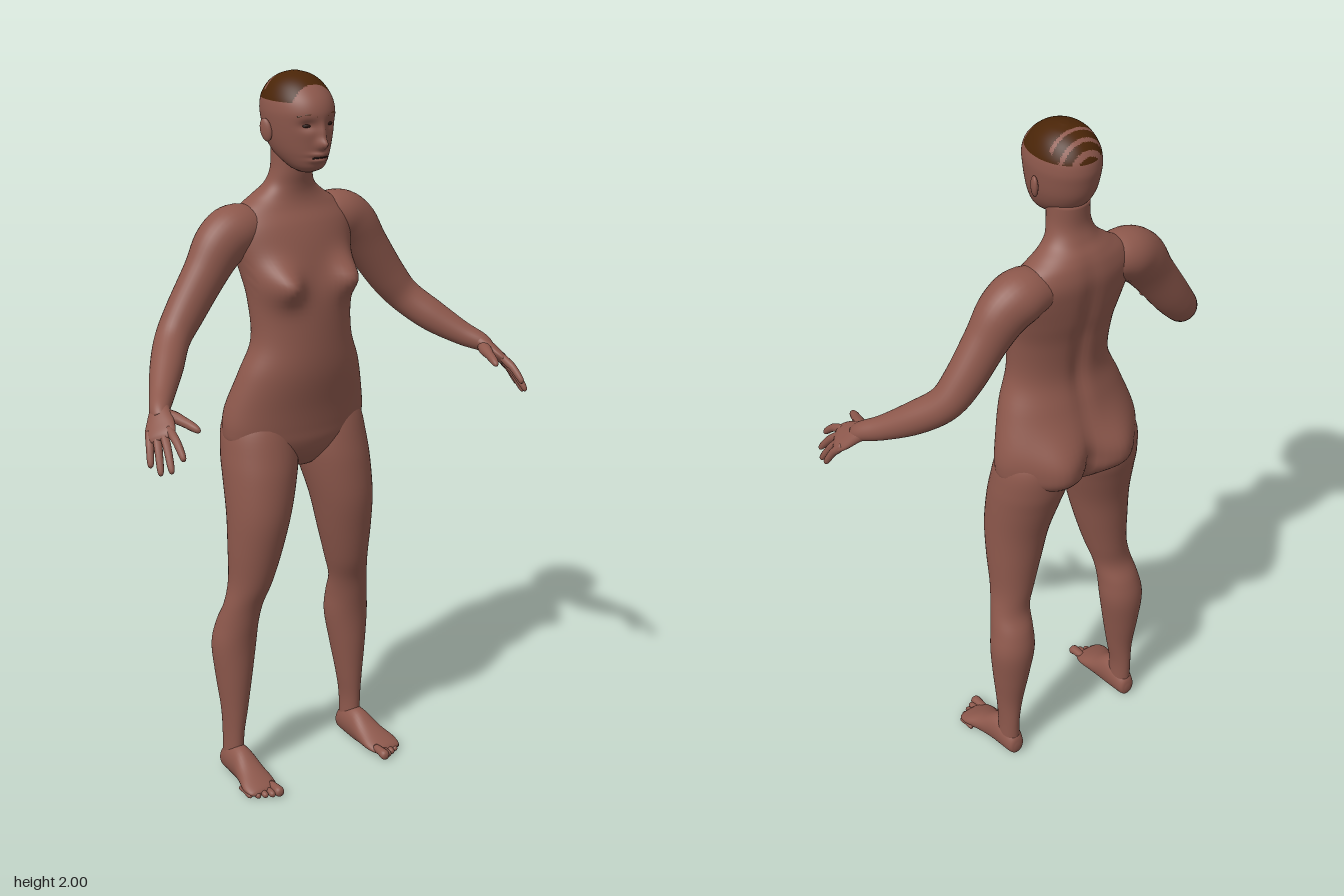
import * as THREE from 'three';

const V = (x, y, z) => new THREE.Vector3(x, y, z);
const X = V(1, 0, 0), Y = V(0, 1, 0), Z = V(0, 0, 1);
const bell = (d, s) => Math.exp(-(d * d) / (s * s));

// Smooth skin through elliptical sections [x, y, z, radiusA, radiusB].
// axis fixes the section plane (otherwise it follows the path); ref is the direction of radiusA.
function loft(sections, { axis, ref = Z, sides = 28, steps = 5, move, pick } = {}) {
  const path = new THREE.CatmullRomCurve3(sections.map(s => V(s[0], s[1], s[2])), false, 'catmullrom', 0.5);
  const size = new THREE.CatmullRomCurve3(sections.map(s => V(s[3], s[4], 0)), false, 'catmullrom', 0.5);
  const rows = (sections.length - 1) * steps;
  const pos = [], tris = [[], []];
  const put = p => { if (move) move(p); pos.push(p.x, p.y, p.z); };
  for (let i = 0; i <= rows; i++) {
    const c = path.getPoint(i / rows), r = size.getPoint(i / rows);
    const t = axis || path.getTangent(i / rows);
    const a = ref.clone().addScaledVector(t, -ref.dot(t)).normalize();
    const b = t.clone().cross(a);
    for (let j = 0; j < sides; j++) {
      const q = j / sides * Math.PI * 2;
      put(c.clone().addScaledVector(a, r.x * Math.cos(q)).addScaledVector(b, r.y * Math.sin(q)));
    }
  }
  put(path.getPoint(0));
  put(path.getPoint(1));
  const start = (rows + 1) * sides;
  const add = (...f) => {
    const mid = k => f.reduce((sum, i) => sum + pos[i * 3 + k], 0) / 3;
    tris[pick && pick(mid(0), mid(1), mid(2)) ? 1 : 0].push(...f);
  };
  for (let j = 0; j < sides; j++) {
    const k = (j + 1) % sides, end = rows * sides;
    add(start, k, j);
    add(start + 1, end + j, end + k);
    for (let i = 0; i < rows; i++) {
      const o = i * sides;
      add(o + j, o + k, o + sides + j);
      add(o + k, o + sides + k, o + sides + j);
    }
  }
  const g = new THREE.BufferGeometry();
  g.setAttribute('position', new THREE.Float32BufferAttribute(pos, 3));
  g.setIndex([...tris[0], ...tris[1]]);
  if (pick) {
    g.addGroup(0, tris[0].length, 0);
    g.addGroup(tris[0].length, tris[1].length, 1);
  }
  g.computeVertexNormals();
  return g;
}

// Level sections from [y, front z, back z, half width]
const level = rows => rows.map(([y, f, b, w]) => [0, y, (f + b) / 2, w, (f - b) / 2]);

export function createModel() {
  const model = new THREE.Group();
  const skin = new THREE.MeshStandardMaterial({ color: 0x8d584c });
  const hair = new THREE.MeshStandardMaterial({ color: 0x4a2508 });
  const dark = new THREE.MeshStandardMaterial({ color: 0x2a1712 });
  skin.name = 'skin'; hair.name = 'hair'; dark.name = 'dark';
  const add = (name, geometry, material = skin, parent = model) => {
    const m = new THREE.Mesh(geometry, material);
    m.name = name;
    parent.add(m);
    return m;
  };

  // Torso and neck, with chest, seat and spine shaped by soft bumps
  add('torso', loft(level([
    [0.92, -0.03, -0.13, 0.05], [0.96, 0, -0.17, 0.15], [1.0, 0.015, -0.195, 0.21],
    [1.04, 0.02, -0.2, 0.222], [1.1, 0.028, -0.2, 0.215], [1.2, 0.045, -0.172, 0.185],
    [1.29, 0.047, -0.152, 0.152], [1.4, 0.04, -0.165, 0.155], [1.48, 0.02, -0.185, 0.168],
    [1.55, 0, -0.198, 0.185], [1.6, -0.02, -0.203, 0.185], [1.64, -0.043, -0.197, 0.152],
    [1.67, -0.052, -0.185, 0.108], [1.7, -0.052, -0.165, 0.073], [1.74, -0.045, -0.15, 0.059],
    [1.8, -0.04, -0.15, 0.056],
  ]), {
    axis: Y, ref: X, sides: 72, steps: 6,
    move: p => {
      const x = Math.abs(p.x);
      if (p.z > -0.06) p.z += 0.058 * bell(x - 0.105, 0.05) * bell(p.y - 1.455, 0.05);
      else if (p.z < -0.1) {
        p.z -= 0.048 * bell(x - 0.1, 0.075) * bell(p.y - 1.035, 0.085);
        p.z += 0.014 * bell(x, 0.025) * bell(p.y - 1.38, 0.22);
        p.z += 0.02 * bell(x, 0.02) * bell(p.y - 1.0, 0.08);
      }
    },
  }));

  // Head with modelled face; cropped hair is a second material on the crown
  const parting = (x, z) => Math.abs(x) < 0.07 && [-0.115, -0.147, -0.172].some(c => Math.abs(z - c) < 0.005);
  add('head', loft(level([
    [1.742, -0.005, -0.06, 0.018], [1.757, 0.026, -0.085, 0.043], [1.79, 0.037, -0.14, 0.066],
    [1.83, 0.042, -0.17, 0.08], [1.88, 0.048, -0.184, 0.088], [1.91, 0.048, -0.187, 0.089],
    [1.94, 0.035, -0.18, 0.083], [1.97, 0.006, -0.157, 0.066], [1.99, -0.027, -0.125, 0.041],
    [2.0, -0.065, -0.09, 0.01],
  ]), {
    axis: Y, ref: X, sides: 96, steps: 10,
    move: p => {
      if (p.z < -0.02) return;
      const x = Math.abs(p.x);
      p.z += 0.024 * bell(x, 0.014) * bell(p.y - 1.823, 0.015);
      p.z += 0.012 * bell(x, 0.011) * bell(p.y - 1.85, 0.025);
      p.z -= 0.011 * bell(x - 0.036, 0.02) * bell(p.y - 1.873, 0.014);
      p.z += 0.01 * bell(x, 0.026) * (bell(p.y - 1.796, 0.006) + bell(p.y - 1.78, 0.006));
    },
    pick: (x, y, z) => y > 1.93 && z < 0.002 && !parting(x, z),
  }), [skin, hair]);
  const mouth = new THREE.CatmullRomCurve3([V(-0.024, 1.787, 0.034), V(0, 1.788, 0.041), V(0.024, 1.787, 0.034)]);
  add('mouth', new THREE.TubeGeometry(mouth, 12, 0.002, 6), dark);

  for (const s of [1, -1]) {
    const side = new THREE.Group();
    side.name = s > 0 ? 'leftSide' : 'rightSide';
    model.add(side);
    const flip = rows => rows.map(([x, ...rest]) => [x * s, ...rest]);
    const part = (name, rows, options) => add(name, loft(flip(rows), options), skin, side);

    // Eye, brow and ear
    const eye = add('eye', new THREE.SphereGeometry(1, 16, 10), dark, side);
    eye.scale.set(0.012, 0.0045, 0.005);
    eye.position.set(s * 0.036, 1.872, 0.026);
    eye.rotation.y = s * 0.35;
    const brow = new THREE.CatmullRomCurve3([V(s * 0.016, 1.897, 0.045), V(s * 0.037, 1.903, 0.036), V(s * 0.06, 1.896, 0.017)]);
    add('brow', new THREE.TubeGeometry(brow, 12, 0.0025, 6), hair, side);
    const ear = add('ear', new THREE.SphereGeometry(1, 18, 14), skin, side);
    ear.scale.set(0.009, 0.031, 0.018);
    ear.position.set(s * 0.092, 1.853, -0.08);
    ear.rotation.set(-0.2, s * -0.35, s * -0.12);

    // Arm from inside the shoulder to the wrist
    part('arm', [
      [0.08, 1.59, -0.122, 0.055, 0.045], [0.16, 1.588, -0.122, 0.072, 0.07],
      [0.215, 1.556, -0.118, 0.066, 0.073], [0.267, 1.487, -0.113, 0.055, 0.062],
      [0.335, 1.392, -0.108, 0.05, 0.055], [0.385, 1.33, -0.092, 0.047, 0.048],
      [0.44, 1.275, -0.035, 0.043, 0.045], [0.495, 1.23, 0.03, 0.033, 0.034],
      [0.53, 1.208, 0.075, 0.027, 0.026], [0.545, 1.192, 0.098, 0.022, 0.018],
    ], { steps: 6, sides: 32 });

    // Palm, fingers and thumb
    part('palm', [
      [0.525, 1.211, 0.07, 0.025, 0.022], [0.54, 1.197, 0.092, 0.033, 0.019],
      [0.555, 1.178, 0.117, 0.042, 0.016], [0.567, 1.162, 0.138, 0.042, 0.013],
      [0.573, 1.154, 0.148, 0.032, 0.006],
    ], { ref: V(s * 0.5, -0.25, -0.8) });
    const tips = [[0.556, 1.12, 0.232], [0.583, 1.088, 0.217], [0.598, 1.077, 0.188], [0.606, 1.09, 0.152]];
    tips.forEach((tip, i) => {
      const k = [0.548 + i * 0.011, 1.173 - i * 0.006, 0.157 - i * 0.016];
      const at = (t, lift) => k.map((v, n) => v + (tip[n] - v) * t + (n === 1 ? lift : 0));
      part('finger', [
        [...at(-0.15, 0), 0.01, 0.01], [...at(0.2, 0.005), 0.0115, 0.0115], [...at(0.5, 0.009), 0.0105, 0.0105],
        [...at(0.85, 0.004), 0.009, 0.009], [...at(0.97, 0), 0.006, 0.006], [...at(1, 0), 0.001, 0.001],
      ], { sides: 12, steps: 3 });
    });
    part('thumb', [
      [0.532, 1.2, 0.082, 0.015, 0.015], [0.515, 1.197, 0.115, 0.018, 0.016], [0.503, 1.19, 0.15, 0.013, 0.013],
      [0.494, 1.182, 0.18, 0.011, 0.011], [0.489, 1.176, 0.195, 0.007, 0.007], [0.488, 1.174, 0.2, 0.001, 0.001],
    ], { sides: 14, steps: 3 });

    // Leg from ankle to hip
    part('leg', [
      [0.207, 0.04, -0.1, 0.028, 0.037], [0.207, 0.12, -0.1, 0.027, 0.039], [0.203, 0.2, -0.099, 0.036, 0.044],
      [0.2, 0.3, -0.104, 0.051, 0.055], [0.196, 0.4, -0.108, 0.064, 0.062], [0.19, 0.47, -0.097, 0.06, 0.06],
      [0.181, 0.53, -0.078, 0.057, 0.053], [0.165, 0.6, -0.066, 0.062, 0.065], [0.152, 0.7, -0.059, 0.077, 0.08],
      [0.14, 0.8, -0.058, 0.09, 0.093], [0.126, 0.9, -0.073, 0.103, 0.104], [0.117, 0.97, -0.088, 0.108, 0.108],
      [0.112, 1.05, -0.1, 0.1, 0.1], [0.1, 1.12, -0.1, 0.07, 0.07],
    ], { axis: Y, ref: X, sides: 48 });

    // Foot with a flat sole, and five toes
    const sole = p => { p.y = Math.max(p.y, 0); };
    part('foot', [
      [0.207, 0.03, -0.145, 0.008, 0.01], [0.207, 0.034, -0.136, 0.024, 0.032], [0.207, 0.045, -0.1, 0.033, 0.047],
      [0.208, 0.042, -0.05, 0.036, 0.05], [0.212, 0.029, 0, 0.044, 0.034], [0.217, 0.02, 0.04, 0.051, 0.022],
      [0.219, 0.014, 0.07, 0.045, 0.013], [0.219, 0.012, 0.08, 0.03, 0.006],
    ], { axis: Z, ref: X, sides: 36, move: sole });
    for (let i = 0; i < 5; i++) {
      const x = 0.187 + i * 0.0185, r = i ? 0.0105 - i * 0.0006 : 0.0145, z = 0.114 - i * 0.009 - (i === 4 ? 0.006 : 0);
      part('toe', [
        [x, r + 0.004, z - 0.055, r * 0.8, r * 0.8], [x, r + 0.003, z - 0.03, r * 0.9, r * 0.85],
        [x, r, z - 0.012, r, r], [x, r * 0.9, z - 0.003, r * 0.7, r * 0.7], [x, r * 0.9, z, 0.001, 0.001],
      ], { axis: Z, ref: X, sides: 14, steps: 4, move: sole });
    }
  }
  return model;
}
